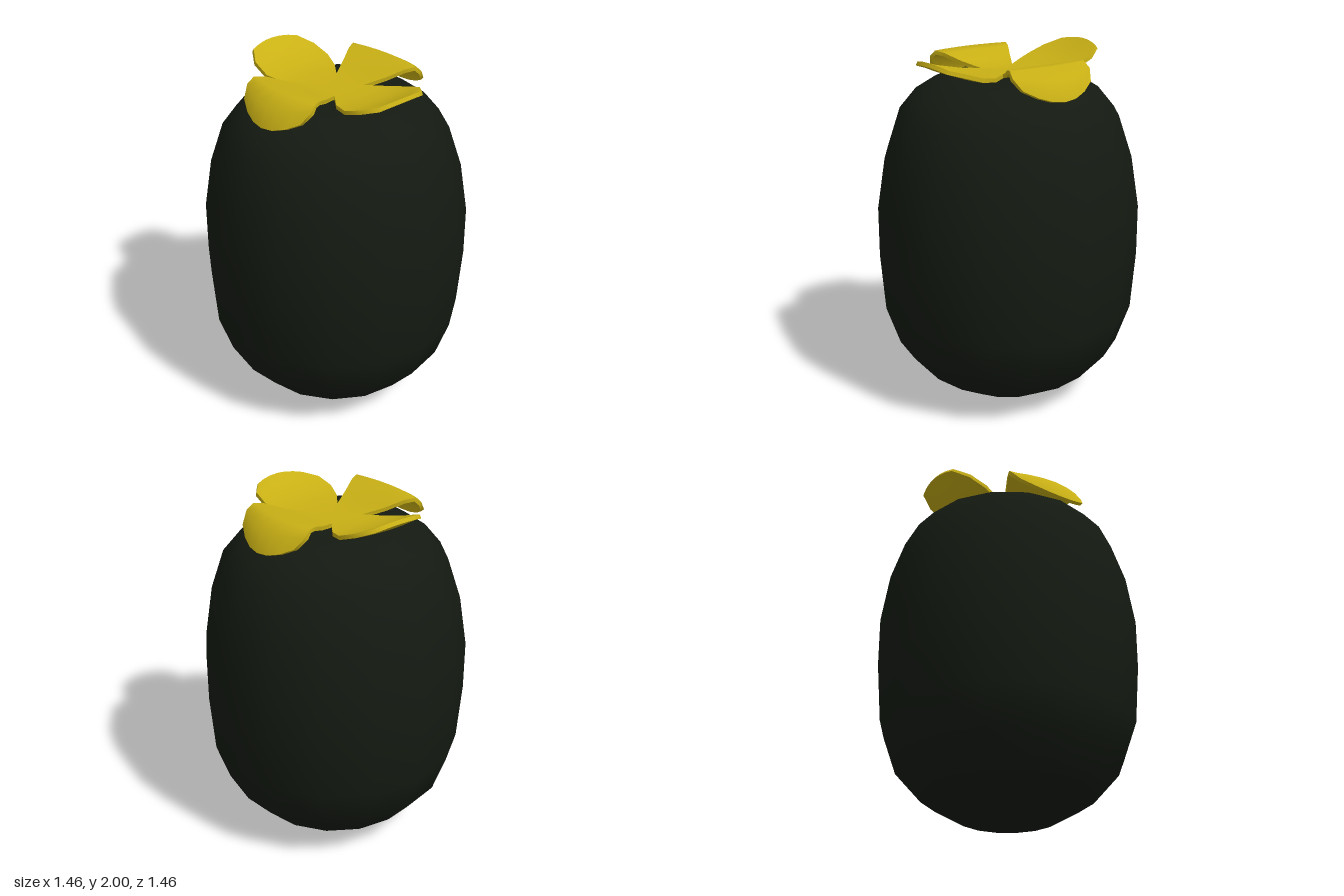
import * as THREE from 'three';
import { mergeGeometries, mergeVertices, toCreasedNormals } from 'three/addons/utils/BufferGeometryUtils.js';

const THICKNESS = 0.022;
const COLUMNS = 6;

// One petal pointing along +x, lofted from stations:
// [reach, half width, height, how far the edge falls back, edge height change]
function petalGeometry(stations, angle) {
  const positions = [], index = [];
  const rows = stations.length, cols = COLUMNS + 1, sheet = rows * cols;
  for (const under of [0, 1]) {
    stations.forEach(([reach, half, y, sag, dy], i) => {
      // Offset the underside along the curve normal; the hub stays level
      const a = stations[Math.max(i - 1, 0)], b = stations[Math.min(i + 1, rows - 1)];
      const slope = i < 2 ? 0 : Math.atan2(b[2] - a[2], b[0] - a[0]);
      for (let c = 0; c < cols; c++) {
        const t = (c / COLUMNS) * 2 - 1;
        positions.push(
          reach - sag * t * t + under * THICKNESS * Math.sin(slope),
          y + dy * t * t - under * THICKNESS * Math.cos(slope),
          half * t);
      }
    });
  }
  const quad = (a, b, c, d) => index.push(a, b, c, a, c, d);
  for (let i = 0; i < rows - 1; i++) {
    const r = i * cols, n = r + cols;
    for (let c = 0; c < COLUMNS; c++) {
      quad(r + c, r + c + 1, n + c + 1, n + c);
      quad(sheet + r + c, sheet + n + c, sheet + n + c + 1, sheet + r + c + 1);
    }
    // Side rims, except where neighbouring petals join at the hub
    if (i > 0) {
      const e = COLUMNS;
      quad(r, n, sheet + n, sheet + r);
      quad(r + e, sheet + r + e, sheet + n + e, n + e);
    }
  }
  // Tip rim
  const last = (rows - 1) * cols;
  for (let c = 0; c < COLUMNS; c++) {
    quad(last + c, last + c + 1, sheet + last + c + 1, sheet + last + c);
  }
  const geometry = new THREE.BufferGeometry();
  geometry.setAttribute('position', new THREE.Float32BufferAttribute(positions, 3));
  geometry.setIndex(index);
  return geometry.rotateY(angle);
}

export function createModel() {
  const group = new THREE.Group();

  // Barrel-shaped fruit body
  const profile = [
    [0, 0], [0.13, 0.012], [0.28, 0.04], [0.48, 0.155], [0.63, 0.325], [0.705, 0.54],
    [0.73, 0.865], [0.73, 1.14], [0.685, 1.42], [0.61, 1.645], [0.515, 1.76],
    [0.405, 1.83], [0.31, 1.852], [0, 1.857],
  ].map(([x, y]) => new THREE.Vector2(x, y));
  const body = new THREE.Mesh(
    new THREE.LatheGeometry(profile, 16),
    new THREE.MeshStandardMaterial({ color: 0x141a12 }));
  body.name = 'fruitBody';
  group.add(body);

  // Four-lobed leafy cap: two side lobes curl up, front and back lobes droop
  const hub = [[0, 0, 1.88, 0, 0], [0.105, 0.105, 1.88, 0, 0]];
  const droop = [...hub,
    [0.21, 0.165, 1.905, 0, 0.005], [0.3, 0.215, 1.945, 0, 0], [0.385, 0.24, 1.953, 0.03, 0],
    [0.478, 0.25, 1.9, 0.085, 0.02], [0.512, 0.22, 1.79, 0.07, 0.07]];
  const curlLeft = [...hub,
    [0.2, 0.18, 1.882, 0, 0], [0.32, 0.227, 1.892, 0.01, 0.008],
    [0.43, 0.215, 1.93, 0.025, 0], [0.505, 0.155, 1.968, 0.03, -0.02]];
  const curlRight = [...hub,
    [0.2, 0.18, 1.882, 0, 0], [0.31, 0.22, 1.895, 0.01, 0.008],
    [0.43, 0.21, 1.943, 0.025, 0], [0.512, 0.155, 2, 0.025, -0.02]];
  const lobes = [curlLeft, droop, curlRight, droop]
    .map((stations, i) => petalGeometry(stations, i * Math.PI / 2));
  const cap = new THREE.Mesh(
    toCreasedNormals(mergeVertices(mergeGeometries(lobes), 1e-3), 0.9),
    new THREE.MeshStandardMaterial({ color: 0xc9b015, side: THREE.DoubleSide }));
  cap.name = 'leafCap';
  group.add(cap);

  return group;
}
